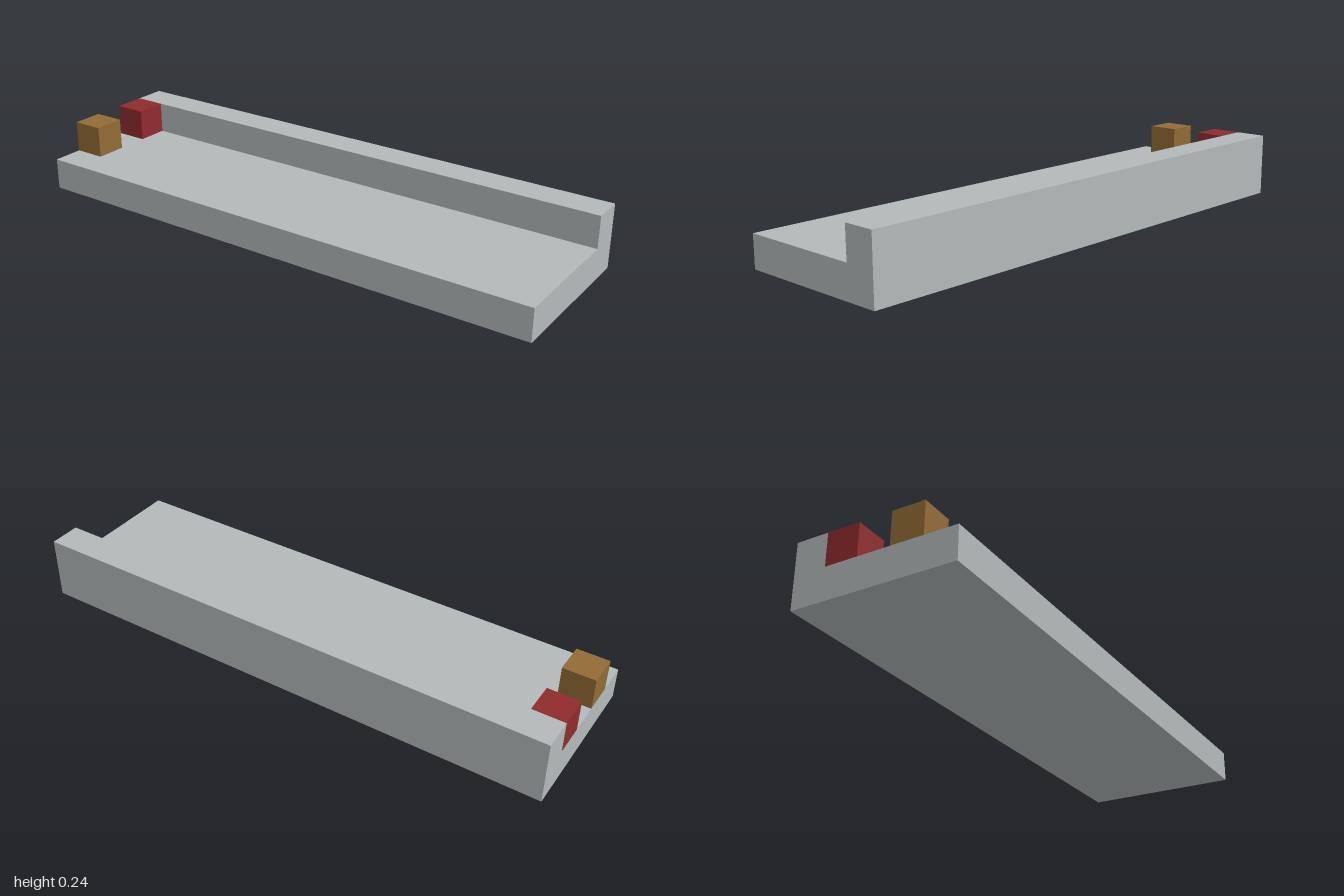
import * as THREE from 'three';

const U = 2 / 17; // one module of the model: 17 long, 5 deep, 2 high

export function createModel() {
  const model = new THREE.Group();
  const mat = (name, color) => {
    const m = new THREE.MeshStandardMaterial({ color });
    m.name = name;
    return m;
  };
  const grey = mat('paleGrey', 0xb3b9b9);
  const brown = mat('ochreBrown', 0x916b35);
  const red = mat('darkRed', 0x8f2b2d);

  // L-shaped ledge: slab with a raised wall along the back, extruded along x
  const profile = new THREE.Shape([
    [-2.5, 0], [2.5, 0], [2.5, 2], [1.5, 2], [1.5, 1], [-2.5, 1],
  ].map(([a, y]) => new THREE.Vector2(a * U, y * U)));
  const ledgeGeometry = new THREE.ExtrudeGeometry(profile, { depth: 2, bevelEnabled: false });
  ledgeGeometry.translate(0, 0, -1).rotateY(Math.PI / 2); // profile right becomes -z
  const ledge = new THREE.Mesh(ledgeGeometry, grey);
  ledge.name = 'steppedLedge';
  model.add(ledge);

  // Two cubes standing at the end of the slab
  const addCube = (name, material, z) => {
    const cube = new THREE.Mesh(new THREE.BoxGeometry(U, U, U), material);
    cube.name = name;
    cube.position.set(-1 + U / 2, 1.5 * U, z);
    model.add(cube);
  };
  addCube('frontCube', brown, U);
  addCube('backCube', red, -U);

  return model;
}
